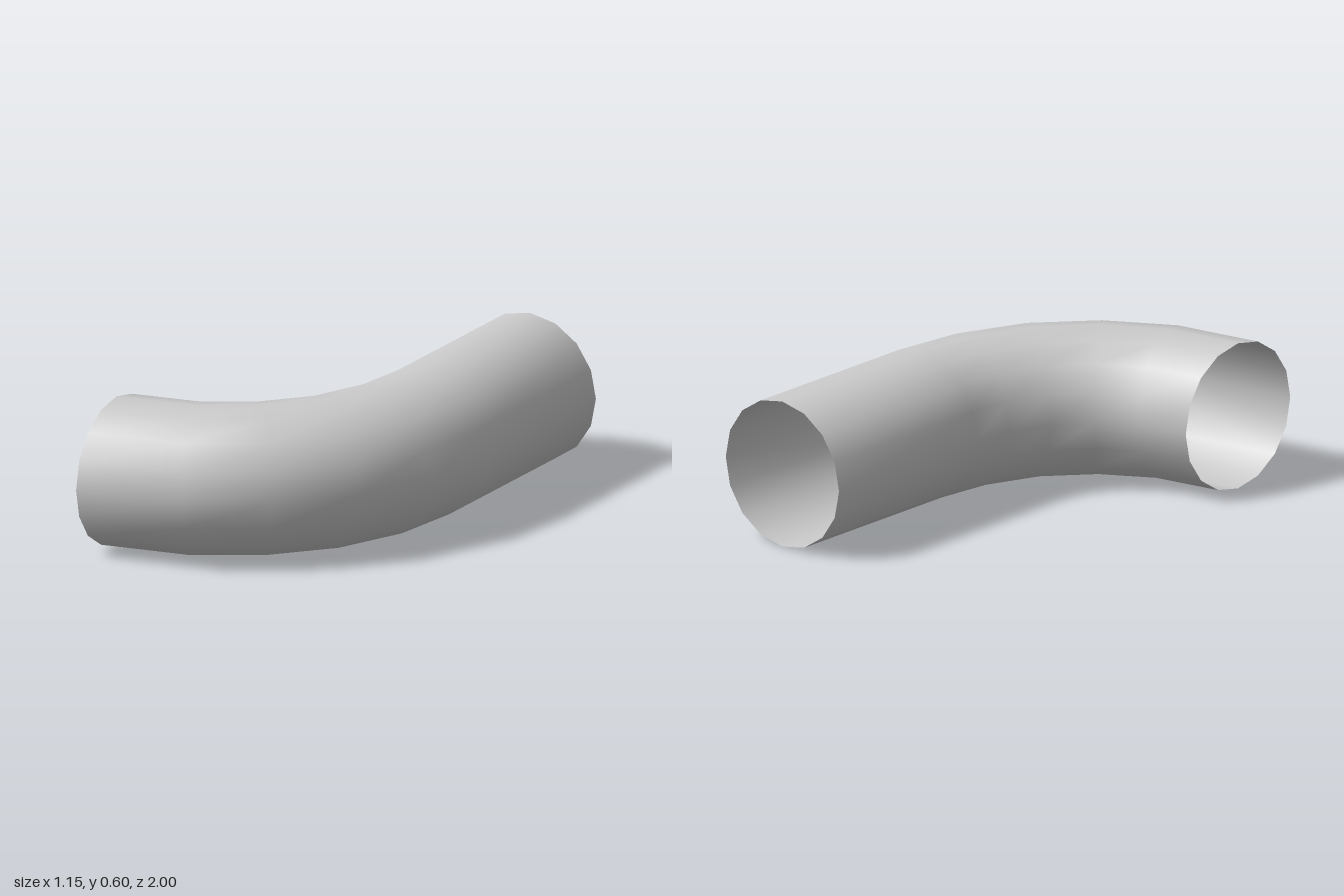
import * as THREE from 'three';

const SIDES = 16;
const RADIUS = 0.3;

// Rings along the pipe: centre x, centre z, heading turned from +z towards -x (degrees)
const RINGS = [
  [0.273, -1, 0],
  [0.273, -0.207, 0],
  [0.241, 0.048, 17.2],
  [0.138, 0.294, 34.4],
  [-0.034, 0.491, 51.5],
  [-0.259, 0.63, 68.7],
  [-0.575, 0.697, 90],
];

// Open tube skinned through the rings, with shared vertices for smooth normals
function pipeGeometry() {
  const positions = [];
  const index = [];
  RINGS.forEach(([cx, cz, deg], i) => {
    const turn = THREE.MathUtils.degToRad(deg);
    for (let j = 0; j < SIDES; j++) {
      const a = (j / SIDES) * Math.PI * 2;
      const out = Math.cos(a) * RADIUS;
      positions.push(
        cx + out * Math.cos(turn),
        RADIUS + Math.sin(a) * RADIUS,
        cz + out * Math.sin(turn)
      );
      if (i === 0) continue;
      const k = (j + 1) % SIDES;
      const p = (i - 1) * SIDES;
      const q = i * SIDES;
      index.push(p + j, p + k, q + j, p + k, q + k, q + j);
    }
  });
  const geometry = new THREE.BufferGeometry();
  geometry.setAttribute('position', new THREE.Float32BufferAttribute(positions, 3));
  geometry.setIndex(index);
  geometry.computeVertexNormals();
  return geometry;
}

export function createModel() {
  const group = new THREE.Group();
  group.name = 'pipeElbow';

  // Thin-walled pipe, open at both ends
  const pipe = new THREE.Mesh(
    pipeGeometry(),
    new THREE.MeshStandardMaterial({ color: 0xcccccc, side: THREE.DoubleSide })
  );
  pipe.name = 'bentPipe';
  group.add(pipe);
  return group;
}
